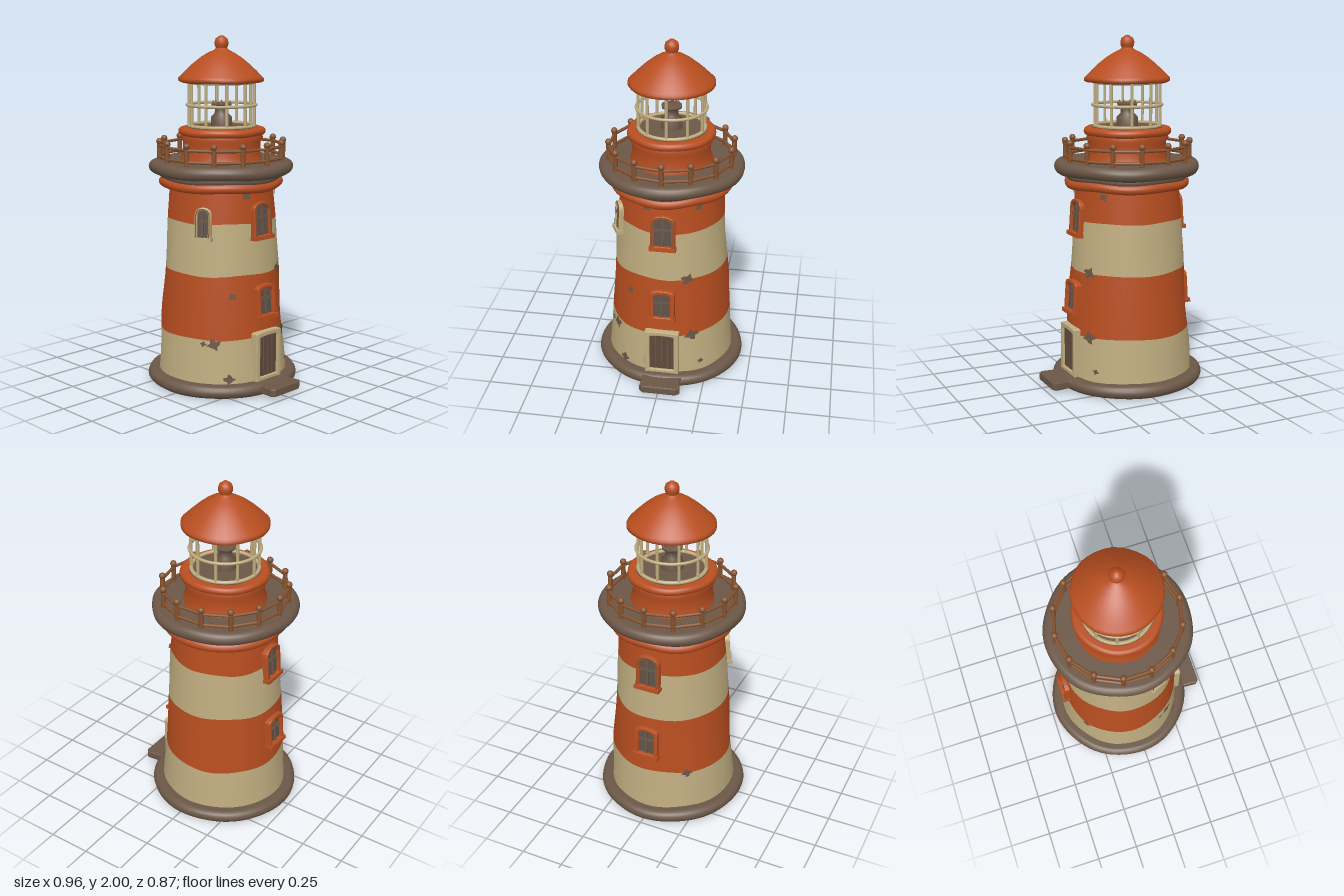
import * as THREE from 'three';

const mat = (name, color) => {
  const m = new THREE.MeshStandardMaterial({ color });
  m.name = name;
  return m;
};

export function createModel() {
  const orange = mat('orange paint', 0xb84e20);
  const cream = mat('cream paint', 0xc0ad80);
  const stone = mat('brown stone', 0x6b5747);
  const rust = mat('rusty wood', 0x85522f);
  const glass = mat('dusty glass', 0x5c5249);
  const doorWood = mat('door wood', 0x5f4a3c);

  const model = new THREE.Group();
  model.name = 'lighthouse';
  const tower = new THREE.Group();
  tower.name = 'tower';
  tower.position.set(-0.04, 0, -0.005);
  model.add(tower);

  const add = (name, geo, material, x = 0, y = 0, z = 0, parent = tower) => {
    const mesh = new THREE.Mesh(geo, material);
    mesh.name = name;
    mesh.position.set(x, y, z);
    parent.add(mesh);
    return mesh;
  };

  // Turned part with a slight hand-made wobble
  const turned = (name, pts, material, wobble = 0.004, sides = 64) => {
    const geo = new THREE.LatheGeometry(pts.map(([r, y]) => new THREE.Vector2(r, y)), sides);
    const p = geo.attributes.position;
    for (let i = 0; i < p.count; i++) {
      const x = p.getX(i), y = p.getY(i), z = p.getZ(i);
      const r = Math.hypot(x, z);
      if (r < 0.05) continue;
      const a = Math.atan2(x, z);
      const k = 1 + (wobble / r) * (Math.sin(3 * a + y * 9) + 0.6 * Math.sin(7 * a - y * 14));
      p.setXYZ(i, x * k, y + wobble * 0.8 * Math.sin(5 * a + y * 3) * (y > 0.05 ? 1 : 0), z * k);
    }
    return add(name, geo, material);
  };

  // Thick slab or ring with rounded edges
  const slab = (r, y0, y1, inner = 0) => {
    const h = (y1 - y0) / 2, pts = [[inner, y0]];
    for (let i = 0; i <= 8; i++) {
      const a = -Math.PI / 2 + (i / 8) * Math.PI;
      pts.push([r - h + h * Math.cos(a), y0 + h + h * Math.sin(a)]);
    }
    pts.push([inner, y1]);
    return pts;
  };

  // Tower wall radius at a height
  const wall = (y) => 0.372 - 0.068 * (y - 0.06);

  // Base and doorstep
  turned('base', slab(0.437, 0, 0.072), stone, 0.003);
  const step = new THREE.Shape();
  [[0.3, 0.13], [0.38, 0.13], [0.42, 0.11], [0.50, 0.12], [0.515, 0.10], [0.515, -0.09],
    [0.50, -0.105], [0.42, -0.1], [0.38, -0.12], [0.3, -0.12]]
    .forEach(([x, y], i) => (i ? step.lineTo(x, y) : step.moveTo(x, y)));
  const stepGeo = new THREE.ExtrudeGeometry(step, {
    depth: 0.03, bevelThickness: 0.008, bevelSize: 0.006, bevelSegments: 2,
  });
  stepGeo.rotateX(-Math.PI / 2);
  add('doorstep', stepGeo, stone, 0, 0.026, 0);

  // Striped wall
  const bands = [[0.06, 0.32, cream], [0.32, 0.68, orange], [0.68, 0.97, cream], [0.97, 1.18, orange]];
  bands.forEach(([y0, y1, m], b) => {
    const pts = [];
    for (let i = 0; i <= 6; i++) {
      const y = y0 + ((y1 - y0) * i) / 6;
      pts.push([wall(y), y]);
    }
    turned('wall band ' + (b + 1), pts, m);
  });

  // Collar and gallery
  turned('collar', slab(0.358, 1.145, 1.2, 0.27), orange, 0.005);
  turned('collar top', slab(0.35, 1.185, 1.24, 0.27), stone, 0.005);
  turned('gallery', slab(0.416, 1.222, 1.297), stone, 0.004);

  // Gallery railing
  const posts = 14, railR = 0.356;
  const at = (a, r, y) => new THREE.Vector3(r * Math.sin(a), y, r * Math.cos(a));
  const rod = (name, a, b, r, material) => {
    const mesh = add(name, new THREE.CylinderGeometry(r, r, a.distanceTo(b), 8), material);
    mesh.position.copy(a).lerp(b, 0.5);
    mesh.quaternion.setFromUnitVectors(new THREE.Vector3(0, 1, 0), b.clone().sub(a).normalize());
  };
  for (let i = 0; i < posts; i++) {
    const a = Math.PI / 2 + (i / posts) * Math.PI * 2, b = a + (Math.PI * 2) / posts;
    rod('railing post', at(a, railR, 1.28), at(a, railR, 1.405), 0.014, rust);
    const cap = at(a, railR, 1.405);
    add('post cap', new THREE.SphereGeometry(0.019, 10, 8), rust, cap.x, cap.y, cap.z);
    for (const y of [1.318, 1.383]) rod('rail', at(a, railR, y), at(b, railR, y), 0.009, rust);
  }

  // Lantern room base
  turned('lantern base', [[0.235, 1.28], [0.235, 1.31], [0.222, 1.33], [0.222, 1.4], [0.235, 1.425], [0.225, 1.45]],
    orange, 0.003);
  turned('lantern sill', slab(0.25, 1.44, 1.485, 0.19), orange, 0.002);
  add('lantern floor', new THREE.CylinderGeometry(0.2, 0.2, 0.02, 40), stone, 0, 1.478, 0);

  // Lantern cage
  const bars = 10;
  for (let i = 0; i < bars; i++) {
    const a = ((i + 0.5) / bars) * Math.PI * 2;
    rod('lantern bar', at(a, 0.188, 1.48), at(a, 0.188, 1.76), 0.009, cream);
  }
  for (const [r, y, t] of [[0.197, 1.61, 0.009], [0.188, 1.492, 0.011], [0.188, 1.74, 0.011]]) {
    add('lantern ring', new THREE.TorusGeometry(r, t, 8, 40).rotateX(Math.PI / 2), cream, 0, y, 0);
  }

  // Lamp
  turned('lamp', [[0.062, 1.48], [0.06, 1.54], [0.04, 1.56], [0.036, 1.595], [0.056, 1.605], [0.058, 1.62], [0, 1.622]],
    stone, 0, 16);
  for (let i = 0; i < 8; i++) {
    const p = at((i / 8) * Math.PI * 2, 0.048, 1.625);
    add('lamp crown', new THREE.ConeGeometry(0.011, 0.024, 6), stone, p.x, p.y, p.z);
  }

  // Roof, its lining and finial
  turned('roof', [[0.228, 1.738], [0.243, 1.745], [0.243, 1.762], [0.232, 1.772], [0.2, 1.805], [0.16, 1.842],
    [0.115, 1.878], [0.075, 1.903], [0.045, 1.917], [0.03, 1.93]], orange, 0.002, 32);
  turned('roof lining', [[0, 1.87], [0.1, 1.84], [0.17, 1.79], [0.229, 1.738]], stone, 0, 32);
  turned('finial', [[0.028, 1.91], [0.031, 1.928], [0.039, 1.945], [0.04, 1.962], [0.034, 1.982], [0.02, 1.991],
    [0.012, 1.998], [0, 2]], orange, 0, 20);

  // Outline with a square foot and an arched head, centred on its own height
  const outline = (Type, w, h, rise) => {
    const s = new Type();
    s.moveTo(-w / 2, -h / 2);
    s.lineTo(w / 2, -h / 2);
    s.lineTo(w / 2, h / 2 - rise);
    s.bezierCurveTo(w / 2, h / 2 + rise * 0.2, -w / 2, h / 2 + rise * 0.2, -w / 2, h / 2 - rise);
    s.closePath();
    return s;
  };

  // Framed opening set on the wall; frame materials are face and edge
  const opening = (name, angle, y, w, h, rise, border, out, frameMats, paneMat, isDoor) => {
    const g = new THREE.Group();
    g.name = name;
    g.position.copy(at(angle, wall(y), y));
    g.rotation.set(isDoor ? 0 : -0.066, angle, 0, 'YXZ');
    tower.add(g);
    const s = outline(THREE.Shape, w, h, rise);
    const hole = outline(THREE.Path, w - 2 * border, h - 2 * border, rise * 0.8);
    s.holes.push(hole);
    const geo = new THREE.ExtrudeGeometry(s, {
      depth: 0.05 + out, bevelThickness: 0.006, bevelSize: 0.005, bevelOffset: -0.005, bevelSegments: 2, curveSegments: 10,
    });
    add('frame', geo, frameMats, 0, 0, -0.056, g);
    const pane = new THREE.ShapeGeometry(outline(THREE.Shape, w - border, h - border, rise * 0.8), 10);
    add(isDoor ? 'door' : 'pane', pane, paneMat, 0, 0, 0.008, g);
    if (isDoor) {
      for (const x of [-0.035, 0, 0.035]) add('door plank seam', new THREE.BoxGeometry(0.004, h - 2 * border, 0.004), stone, x, 0, 0.009, g);
      return;
    }
    add('window upright', new THREE.BoxGeometry(0.011, h - 2 * border, 0.012), stone, 0, 0, 0.012, g);
    add('window crossbar', new THREE.BoxGeometry(w - 2 * border, 0.011, 0.012), stone, 0, 0.015, 0.012, g);
    add('sill', new THREE.BoxGeometry(w + 0.012, 0.022, 0.06 + out), frameMats[1], 0, -h / 2 + 0.008, -0.02 + out / 2, g);
  };
  for (const side of [1, -1]) {
    const a = (side * Math.PI) / 2;
    opening('upper window', a, 0.985, 0.14, 0.215, 0.05, 0.022, 0.024, [rust, orange], glass);
    opening('lower window', a, 0.525, 0.145, 0.2, 0.03, 0.024, 0.026, [orange, orange], glass);
  }
  opening('front window', 0.46, 0.975, 0.095, 0.19, 0.045, 0.016, 0.02, [rust, cream], glass);
  opening('doorway', Math.PI / 2, 0.212, 0.2, 0.295, 0.012, 0.029, 0.022, [cream, cream], doorWood, true);

  // Patches of missing paint: angle, height, size
  const chips = [[0.67, 0.3, 0.042], [0.9, 0.1, 0.036], [2.0, 0.685, 0.042], [0.97, 0.57, 0.026], [2.06, 0.32, 0.045],
    [0.5, 0.3, 0.02], [1.25, 1.125, 0.03], [2.25, 1.12, 0.028], [-0.9, 0.32, 0.034], [2.2, 0.13, 0.02]];
  chips.forEach(([a, y, size], c) => {
    const n = 11, pos = [], idx = [];
    const put = (da, yy) => pos.push(...at(a + da, wall(yy) + 0.008, yy).toArray());
    put(0, y);
    for (let i = 0; i < n; i++) {
      const t = (i / n) * Math.PI * 2;
      const r = size * (0.8 + 0.3 * Math.sin(i * 2.3 + c * 1.7));
      put((r * Math.cos(t)) / wall(y), y + r * Math.sin(t) * 0.85);
      idx.push(0, 1 + i, 1 + ((i + 1) % n));
    }
    const geo = new THREE.BufferGeometry();
    geo.setAttribute('position', new THREE.Float32BufferAttribute(pos, 3));
    geo.setIndex(idx);
    geo.computeVertexNormals();
    add('paint chip', geo, stone);
  });

  return model;
}
